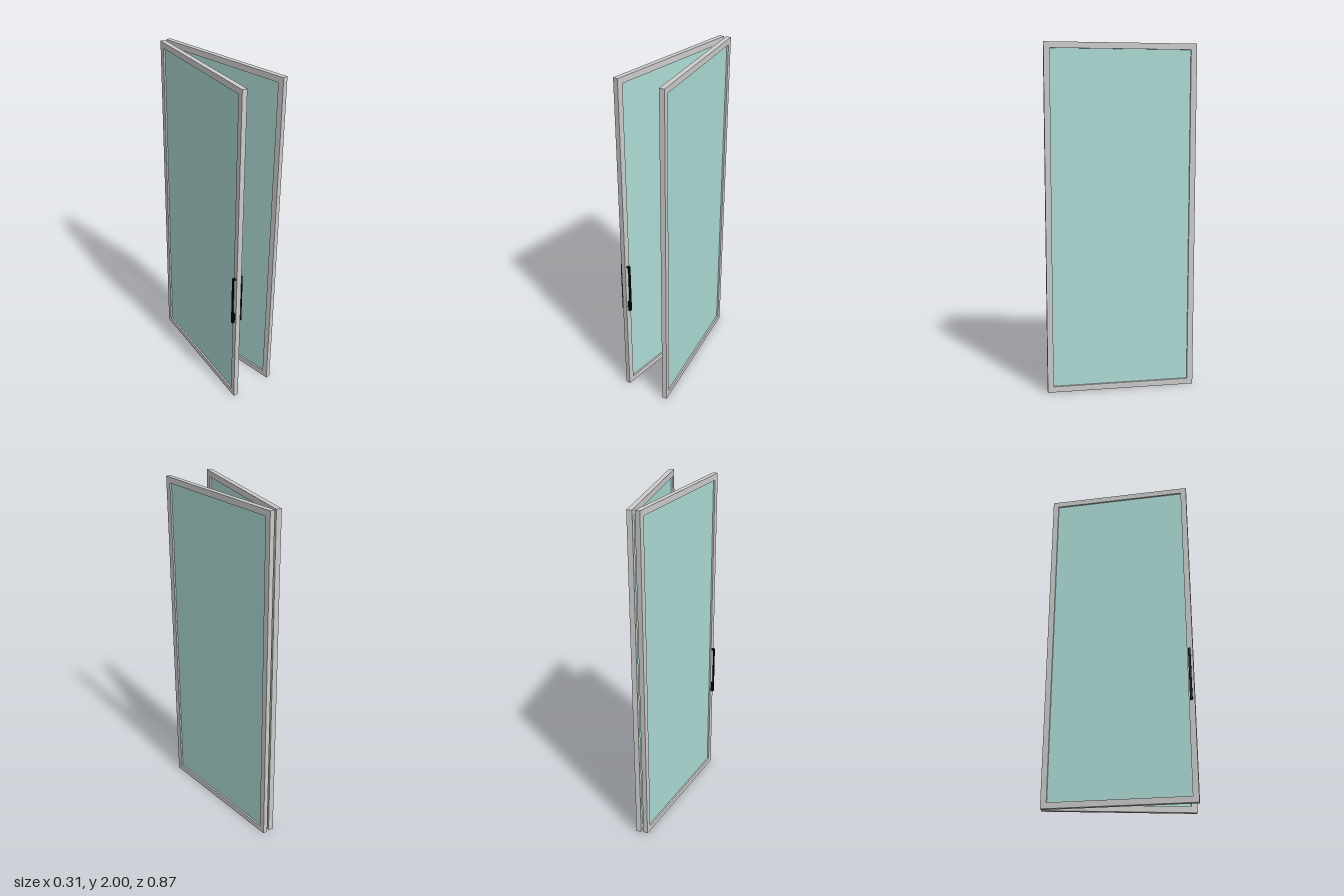
import * as THREE from 'three';

const H = 2, L = 0.868, T = 0.029, STILE = 0.034, GLASS = 0.009;

const frameMat = new THREE.MeshStandardMaterial({ color: 0xcccccc });
const glassMat = new THREE.MeshStandardMaterial({ color: 0xaddbd5 });
const handleMat = new THREE.MeshStandardMaterial({ color: 0x050505 });

function box(parent, name, mat, size, pos) {
  const mesh = new THREE.Mesh(new THREE.BoxGeometry(...size), mat);
  mesh.name = name;
  mesh.position.set(...pos);
  parent.add(mesh);
}

// One framed pane: full-height stiles, rails between them, glass set in the middle
function makePanel(name) {
  const panel = new THREE.Group();
  panel.name = name;
  const innerL = L - 2 * STILE;
  for (const s of [-1, 1]) {
    box(panel, 'stile', frameMat, [T, H, STILE], [0, H / 2, s * (L - STILE) / 2]);
    box(panel, 'rail', frameMat, [T, STILE, innerL], [0, H / 2 + s * (H - STILE) / 2, 0]);
  }
  box(panel, 'glass', glassMat, [GLASS, H - 2 * STILE, innerL], [0, H / 2, 0]);
  return panel;
}

// Pull handle standing out from one face: grip bar, top post and deep lower block
function makeHandle(side) {
  const handle = new THREE.Group();
  handle.name = 'handle';
  const y0 = 0.57, y1 = 0.88, out = 0.0165, bar = 0.006, w = 0.014;
  const x = side * (T / 2 + out - bar / 2);
  const postX = side * (T / 2 + (out - bar) / 2);
  box(handle, 'gripBar', handleMat, [bar, y1 - y0, w], [x, (y0 + y1) / 2, 0]);
  box(handle, 'topPost', handleMat, [out - bar, 0.01, w], [postX, y1 - 0.005, 0]);
  box(handle, 'lowerBlock', handleMat, [out - bar, 0.065, w], [postX, y0 + 0.0325, 0]);
  handle.position.z = 0.415;
  return handle;
}

export function createModel() {
  const model = new THREE.Group();
  model.name = 'foldingGlassDoor';

  // Straight panel
  const fixed = makePanel('fixedPanel');
  fixed.position.set(0.1375, 0, 0.001);
  model.add(fixed);

  // Angled panel with a handle on each face
  const swing = makePanel('swingPanel');
  swing.position.set(-0.0165, 0, -0.015);
  swing.rotation.y = -Math.PI / 12;
  for (const side of [-1, 1]) swing.add(makeHandle(side));
  model.add(swing);

  return model;
}
